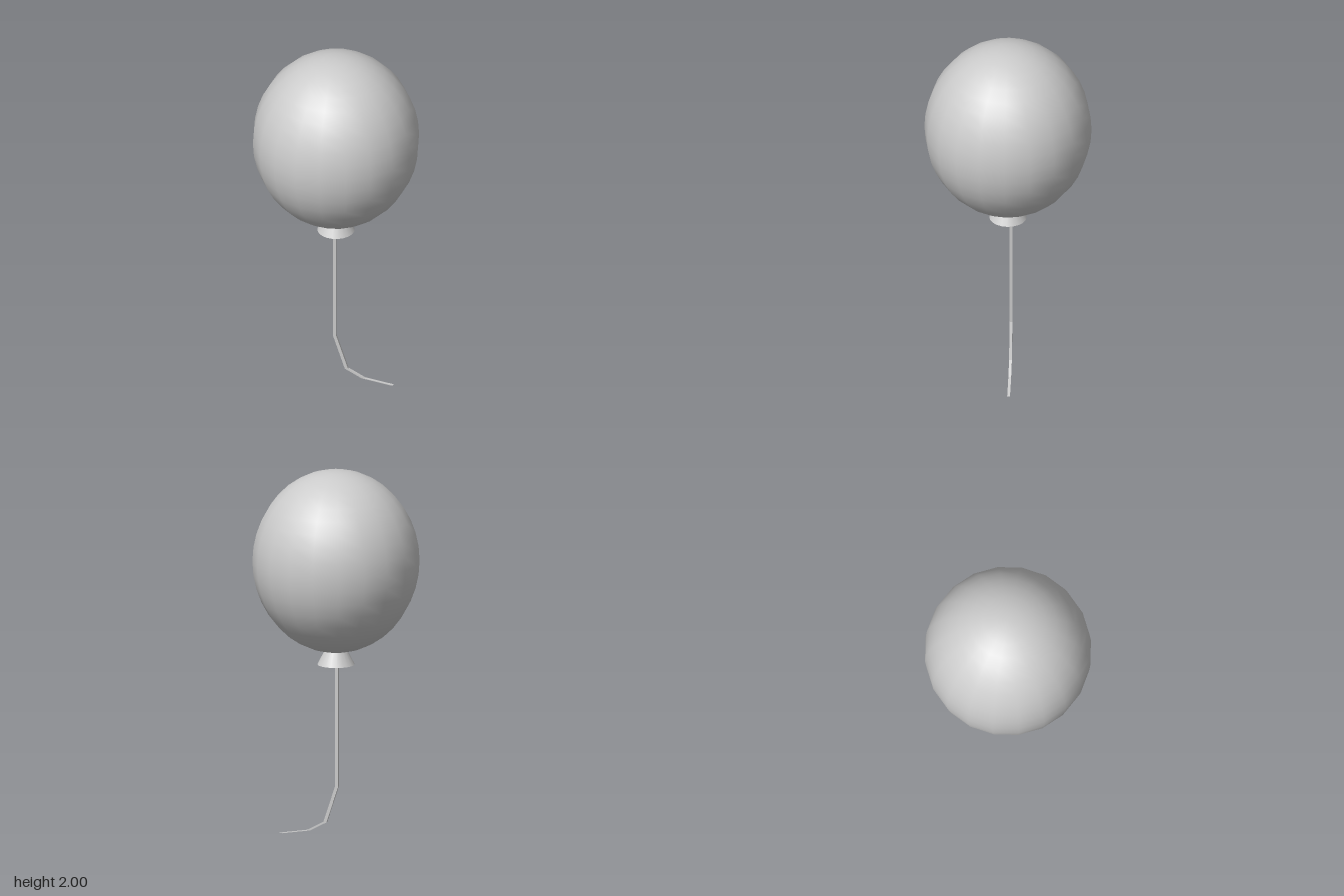
import * as THREE from 'three';

const grey = new THREE.MeshStandardMaterial({ color: 0xcccccc });
const flatGrey = new THREE.MeshStandardMaterial({ color: 0xcccccc, flatShading: true });

function addPart(group, name, geometry, material) {
  const mesh = new THREE.Mesh(geometry, material);
  mesh.name = name;
  group.add(mesh);
  return mesh;
}

// String: a square section kept level while it follows the path, so it thins as it flattens
function stringGeometry() {
  const path = [[0.3, 0], [0.147, 0.025], [0.055, 0.075], [-0.01, 0.275], [-0.01, 0.96]];
  const rows = path.length - 1;
  const geometry = new THREE.BoxGeometry(0.018, rows, 0.015, 1, rows, 1);
  const pos = geometry.attributes.position;
  for (let i = 0; i < pos.count; i++) {
    const [x, y] = path[Math.round(pos.getY(i) + rows / 2)];
    pos.setXYZ(i, pos.getX(i) + x, y, pos.getZ(i) - 0.016);
  }
  geometry.computeVertexNormals();
  return geometry;
}

export function createModel() {
  const group = new THREE.Group();
  group.name = 'balloon';

  // Stretched sphere for the inflated body
  const body = addPart(group, 'balloonBody', new THREE.SphereGeometry(1, 20, 20), grey);
  body.scale.set(0.447, 0.495, 0.447);
  body.position.y = 1.505;

  // Flared neck under the body
  const neck = addPart(group, 'balloonNeck', new THREE.CylinderGeometry(0.053, 0.1, 0.09, 20), grey);
  neck.position.y = 0.985;

  addPart(group, 'string', stringGeometry(), flatGrey);
  return group;
}
